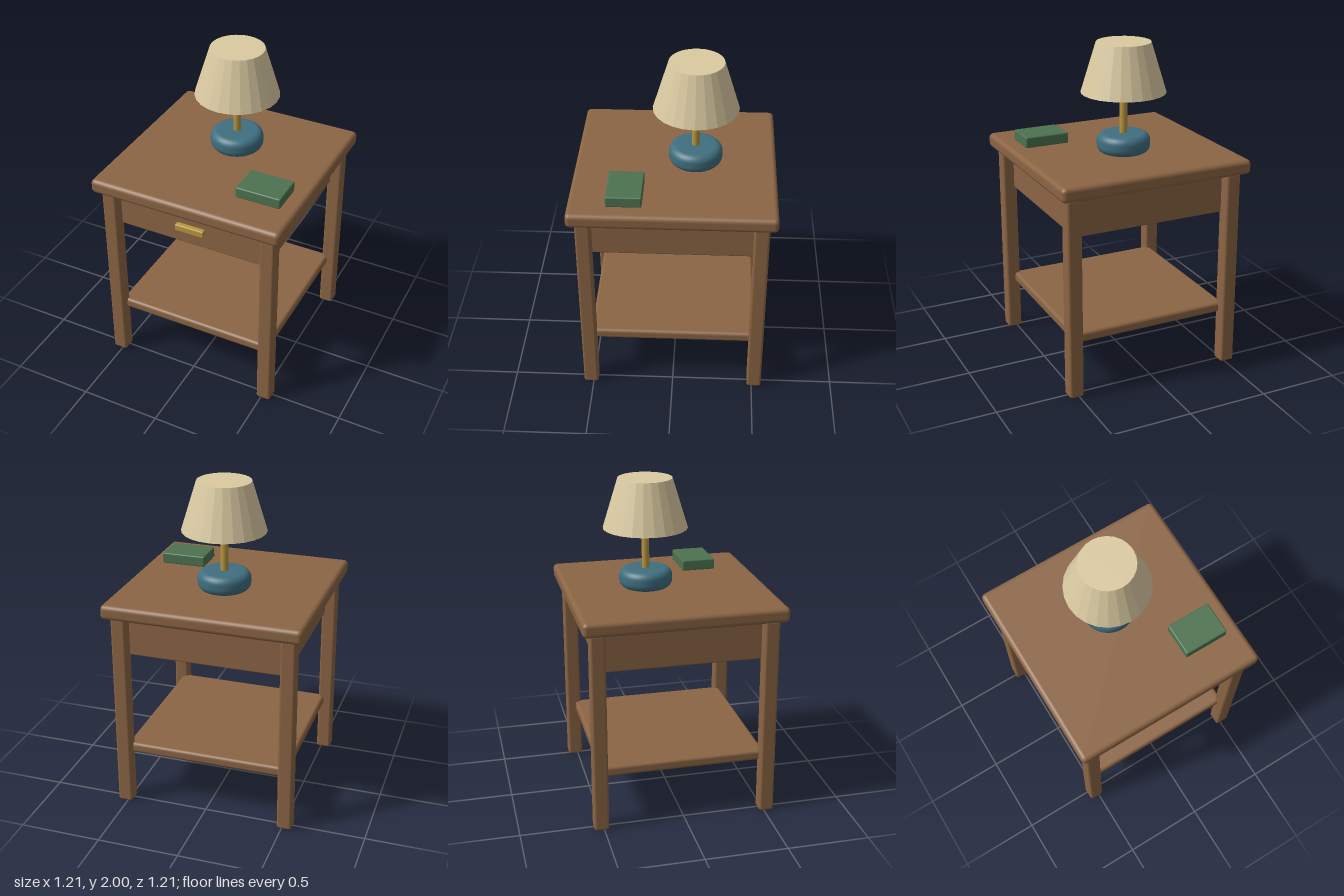
import * as THREE from 'three';
import { RoundedBoxGeometry } from 'three/addons/geometries/RoundedBoxGeometry.js';

const mat = (name, color, flatShading = false) => {
  const m = new THREE.MeshStandardMaterial({ color, flatShading });
  m.name = name;
  return m;
};

export function createModel() {
  const wood = mat('wood', 0x8b6544);
  const brass = mat('brass', 0xb8963f);
  const teal = mat('teal ceramic', 0x3f6f80);
  const green = mat('green cover', 0x4c7350);
  const cream = mat('cream fabric', 0xdbcba2, true);

  const table = new THREE.Group();
  table.name = 'sideTable';
  const add = (name, geometry, material, x, y, z, parent = table) => {
    const mesh = new THREE.Mesh(geometry, material);
    mesh.name = name;
    mesh.position.set(x, y, z);
    parent.add(mesh);
    return mesh;
  };
  // Rounded box standing on height y0
  const box = (name, material, w, h, d, r, x, y0, z) =>
    add(name, new RoundedBoxGeometry(w, h, d, 3, r), material, x, y0 + h / 2, z);

  // Table
  box('tableTop', wood, 1.21, 0.09, 1.21, 0.028, 0, 1.243, 0);
  box('drawerBox', wood, 0.98, 0.232, 0.98, 0.01, 0, 0.988, 0);
  box('lowerShelf', wood, 1.01, 0.065, 1.01, 0.02, 0, 0.325, 0);
  for (const sx of [-1, 1]) {
    for (const sz of [-1, 1]) {
      box('leg', wood, 0.09, 1.243, 0.09, 0.015, sx * 0.515, 0, sz * 0.515);
    }
  }
  box('drawerHandle', brass, 0.186, 0.045, 0.04, 0.008, 0, 1.08, 0.5);

  // Book
  box('book', green, 0.278, 0.067, 0.208, 0.008, 0.372, 1.334, 0.278);

  // Lamp
  const lamp = new THREE.Group();
  lamp.name = 'lamp';
  lamp.position.set(0, 1.333, -0.118);
  table.add(lamp);

  // Puck-shaped base with rounded rims
  const R = 0.161, H = 0.118, r = 0.045;
  const profile = [new THREE.Vector2(0, 0)];
  for (const [cy, start] of [[r, -Math.PI / 2], [H - r, 0]]) {
    for (let i = 0; i <= 6; i++) {
      const a = start + (i / 6) * Math.PI / 2;
      profile.push(new THREE.Vector2(R - r + r * Math.cos(a), cy + r * Math.sin(a)));
    }
  }
  profile.push(new THREE.Vector2(0, H));
  add('lampBase', new THREE.LatheGeometry(profile, 40), teal, 0, 0, 0, lamp);
  add('lampStem', new THREE.CylinderGeometry(0.023, 0.023, 0.32, 16), brass, 0, 0.26, 0, lamp);
  add('lampShade', new THREE.CylinderGeometry(0.163, 0.255, 0.3, 24), cream, 0, 0.517, 0, lamp);

  return table;
}
